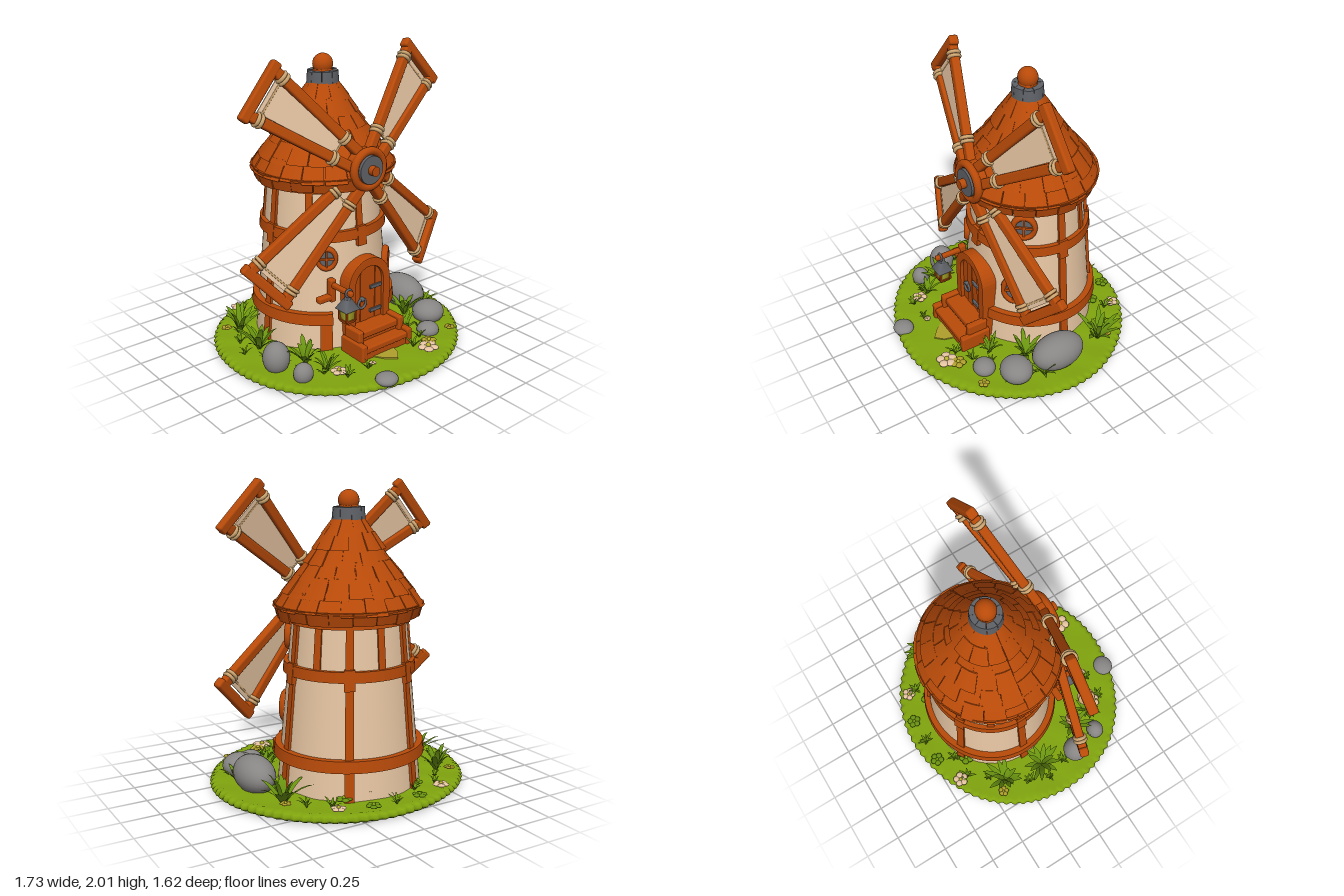
import * as THREE from 'three';
import { mergeGeometries } from 'three/addons/utils/BufferGeometryUtils.js';
import { RoundedBoxGeometry } from 'three/addons/geometries/RoundedBoxGeometry.js';

const mat = (name, color, side = THREE.FrontSide) => new THREE.MeshStandardMaterial({ name, color, side });
const wood = mat('wood', 0xb84a09), plaster = mat('plaster', 0xeccaa6, THREE.DoubleSide);
const rope = mat('rope', 0xd0a873), stone = mat('stone', 0x888684), metal = mat('metal', 0x5f6267);
const grass = mat('grass', 0x80a40e), leaf = mat('leaf', 0x6a9410, THREE.DoubleSide);
const soil = mat('soil', 0xcdb29c), path = mat('path', 0xb0a02c), glow = mat('glow', 0xb9b42c);

let seed = 7;
const rnd = () => (seed = (seed * 16807) % 2147483647) / 2147483647;
const spread = (s) => (rnd() - 0.5) * 2 * s;
const PI = Math.PI;

function add(parent, name, geo, material, x = 0, y = 0, z = 0) {
  const m = new THREE.Mesh(geo, material);
  m.name = name;
  m.position.set(x, y, z);
  parent.add(m);
  return m;
}
function group(parent, name, x = 0, y = 0, z = 0) {
  const g = new THREE.Group();
  g.name = name;
  g.position.set(x, y, z);
  parent.add(g);
  return g;
}
const box = (w, h, d, r = 0.012) => new RoundedBoxGeometry(w, h, d, 2, r);

// Box bent around the y axis: angles a0..a1, outer radius r0 (bottom) to r1 (top), thickness t
function arcBlock(a0, a1, y0, y1, r0, r1, t) {
  const g = new THREE.BoxGeometry(1, 1, 1, Math.max(2, Math.ceil((a1 - a0) * 10)), 1, 1);
  const p = g.attributes.position;
  for (let i = 0; i < p.count; i++) {
    const a = a0 + (p.getX(i) + 0.5) * (a1 - a0), v = p.getY(i) + 0.5;
    const r = r0 + (r1 - r0) * v + (p.getZ(i) - 0.5) * t;
    p.setXYZ(i, Math.sin(a) * r, y0 + v * (y1 - y0), Math.cos(a) * r);
  }
  g.computeVertexNormals();
  return g;
}
const wallR = (y) => 0.475 - 0.0946 * (y - 0.06);

// Beam between two points in the local xy plane
function beam(parent, name, material, x0, y0, x1, y1, w, d) {
  const m = add(parent, name, box(Math.hypot(x1 - x0, y1 - y0), w, d, Math.min(w, d) * 0.25), material, (x0 + x1) / 2, (y0 + y1) / 2);
  m.rotation.z = Math.atan2(y1 - y0, x1 - x0);
  return m;
}

function buildGround(root) {
  const pts = [[0, 0.006], [0.5, 0.006], [0.96, 0.006], [0.985, 0.018], [0.995, 0.034], [0.98, 0.054], [0.95, 0.062],
    [0.91, 0.056], [0.8, 0.06], [0.65, 0.064], [0.5, 0.066], [0.25, 0.066], [0, 0.066]].map((p) => new THREE.Vector2(...p));
  const g = new THREE.LatheGeometry(pts, 504);
  const p = g.attributes.position;
  for (let i = 0; i < p.count; i++) {
    const x = p.getX(i), y = p.getY(i), z = p.getZ(i), r = Math.hypot(x, z), a = Math.atan2(x, z);
    const k = r > 0.94 ? 1 + 0.008 * Math.cos(84 * a) + 0.006 * Math.sin(5 * a) : 1;
    const bump = y > 0.05 ? 0.005 * Math.sin(15 * x) * Math.cos(17 * z) : 0;
    p.setXYZ(i, x * k * 0.86, y + bump, z * k * 0.81);
  }
  g.computeVertexNormals();
  add(root, 'grassGround', g, grass);
  // soil patch under the ground
  const pts2 = [];
  for (let i = 0; i < 40; i++) {
    const a = i / 40 * PI * 2, r = 0.48 + 0.03 * Math.sin(3 * a) + 0.025 * Math.sin(7 * a + 1);
    pts2.push(new THREE.Vector2(Math.cos(a) * r, Math.sin(a) * r));
  }
  add(root, 'soilUnderside', new THREE.ShapeGeometry(new THREE.Shape(pts2)).rotateX(PI / 2), soil, 0, 0.001, 0);
  // worn wedge of path in front of the steps
  const wedge = new THREE.Shape([[-0.1, -0.48], [0.08, -0.48], [0.06, -0.55], [0.01, -0.6], [-0.06, -0.54]].map((q) => new THREE.Vector2(...q)));
  add(root, 'pathPatch', new THREE.ExtrudeGeometry(wedge, { depth: 0.009, bevelEnabled: false }).rotateX(-PI / 2), path, 0, 0.063, 0);
}

function addWindow(tower, a, y, rx, ry) {
  const r = wallR(y) + 0.006, w = group(tower, 'roundWindow', Math.sin(a) * r, y, Math.cos(a) * r);
  w.rotation.y = a;
  w.scale.set(rx, ry, 1);
  add(w, 'windowFrame', new THREE.TorusGeometry(0.79, 0.21, 10, 32).scale(1, 1, 0.13), wood);
  add(w, 'windowPane', new THREE.CylinderGeometry(0.7, 0.7, 0.01, 28).rotateX(PI / 2), metal, 0, 0, 0.003);
  add(w, 'windowBarUpright', new THREE.BoxGeometry(0.16, 1.4, 0.02), wood, 0, 0, 0.01);
  add(w, 'windowBarCross', new THREE.BoxGeometry(1.4, 0.16, 0.02), wood, 0, 0, 0.01);
}

function buildTower(root) {
  const t = group(root, 'tower', 0, 0, -0.16);
  t.scale.z = 0.95;
  add(t, 'wall', new THREE.CylinderGeometry(wallR(1.2), wallR(0.05), 1.15, 64), plaster, 0, 0.625, 0);
  // bands, the lower one open at the door
  add(t, 'lowerBand', arcBlock(0.38, 2 * PI - 0.51, 0.25, 0.325, 0.5, 0.492, 0.07), wood);
  add(t, 'middleBand', arcBlock(-PI, PI, 0.8, 0.868, 0.434, 0.428, 0.06), wood);
  add(t, 'topBand', arcBlock(-PI, PI, 1.12, 1.17, 0.4, 0.396, 0.05), wood);
  const post = (a, y0, y1, w, out) => add(t, 'wallPost', arcBlock(a - w, a + w, y0, y1, wallR(y0) + out, wallR(y1) + out, 0.06), wood);
  for (const deg of [90, 150, 210, 270]) post(deg * PI / 180, 0.06, 1.16, 0.062, 0.018);
  for (const deg of [0, 120, 180, 240, 310]) post(deg * PI / 180, 0.83, 1.16, 0.06, 0.012);
  for (const deg of [0, 90, 150, 210, 270]) post(deg * PI / 180, 0.75, 0.88, 0.08, 0.032);
  post(-0.6, 0.06, 0.27, 0.085, 0.025);
  addWindow(t, 0.77, 0.515, 0.092, 0.115);
  addWindow(t, -0.587, 0.69, 0.076, 0.085);
  addWindow(t, 0.91, 1.01, 0.09, 0.098);

  // roof: core plus rows of overlapping shingles over a backing ring
  const roof = group(t, 'roof', 0, 0, 0.012);
  add(roof, 'roofCore', new THREE.CylinderGeometry(0.09, 0.44, 0.59, 40), wood, 0, 1.465, 0);
  const rows = [[1.145, 1.235, 0.462, 0.486, 20], [1.215, 1.33, 0.49, 0.41, 20], [1.305, 1.42, 0.435, 0.34, 18],
    [1.395, 1.51, 0.363, 0.268, 16], [1.485, 1.595, 0.292, 0.21, 14], [1.57, 1.68, 0.236, 0.16, 12], [1.66, 1.77, 0.18, 0.1, 10]];
  rows.forEach(([y0, y1, r0, r1, n], row) => {
    const tiles = [arcBlock(-PI, PI, y0 + 0.012, y1, r0 - 0.016, r1 - 0.012, 0.04)];
    for (let i = 0; i < n; i++) {
      const a = (i + (row % 2) * 0.5) / n * 2 * PI, h = PI / n - 0.006 + spread(0.003), d = spread(0.006);
      tiles.push(arcBlock(a - h, a + h, y0 + spread(0.008), y1, r0 + d, r1 + d, row ? 0.04 : 0.06));
    }
    add(roof, 'shingleRow', mergeGeometries(tiles), wood);
  });
  const collar = [];
  for (let i = 0; i < 9; i++) collar.push(arcBlock(i * PI / 4.5, (i + 0.97) * PI / 4.5, 1.755 + spread(0.004), 1.832 + spread(0.004), 0.108, 0.102, 0.06));
  add(roof, 'finialCollar', mergeGeometries(collar), metal);
  add(roof, 'finialNeck', new THREE.CylinderGeometry(0.06, 0.08, 0.1, 20), wood, 0, 1.8, 0);
  add(roof, 'finialBall', new THREE.SphereGeometry(0.068, 24, 16), wood, 0, 1.872, 0);
}

function archPoints(w, y0, spring) {
  const pts = [[w, y0]];
  for (let i = 0; i <= 20; i++) pts.push([w * Math.cos(i / 20 * PI), spring + w * Math.sin(i / 20 * PI)]);
  pts.push([-w, y0]);
  return pts.map((p) => new THREE.Vector2(...p));
}

function buildDoor(root) {
  const d = group(root, 'door', 0.015, 0, 0);
  const frame = new THREE.Shape(archPoints(0.172, 0.08, 0.495));
  frame.holes.push(new THREE.Path(archPoints(0.125, 0.085, 0.495)));
  const bevel = { bevelThickness: 0.008, bevelSize: 0.006, bevelSegments: 2, curveSegments: 8 };
  add(d, 'doorFrame', new THREE.ExtrudeGeometry(frame, { depth: 0.18, ...bevel }), wood, 0, 0, 0.128);
  // arched planks
  for (let i = 0; i < 4; i++) {
    const x0 = -0.126 + i * 0.063, pts = [new THREE.Vector2(x0 + 0.001, 0.09), new THREE.Vector2(x0 + 0.062, 0.09)];
    for (let k = 4; k >= 0; k--) {
      const x = x0 + 0.001 + 0.061 * k / 4;
      pts.push(new THREE.Vector2(x, 0.495 + Math.sqrt(Math.max(0, 0.0159 - x * x))));
    }
    add(d, 'doorPlank', new THREE.ExtrudeGeometry(new THREE.Shape(pts), { depth: 0.09, bevelEnabled: false }), wood, 0, 0, 0.2 + (i % 2) * 0.004);
  }
  add(d, 'doorKnocker', new THREE.TorusGeometry(0.032, 0.009, 8, 24), metal, -0.055, 0.36, 0.302);
  add(d, 'knockerPlate', new THREE.SphereGeometry(0.017, 12, 8), metal, -0.055, 0.39, 0.3);
  for (const y of [0.285, 0.455]) add(d, 'hinge', box(0.1, 0.026, 0.016, 0.005), metal, 0.065, y, 0.298);
  // steps with side cheeks
  add(d, 'upperStep', box(0.35, 0.05, 0.19), wood, 0, 0.2, 0.325);
  add(d, 'upperRiser', box(0.33, 0.13, 0.17), wood, 0, 0.12, 0.32);
  add(d, 'lowerStep', box(0.41, 0.045, 0.22), wood, 0, 0.13, 0.385);
  add(d, 'lowerRiser', box(0.39, 0.07, 0.2), wood, 0, 0.088, 0.385);
  for (const s of [-1, 1]) {
    add(d, 'stepCheek', box(0.045, 0.13, 0.22), wood, s * 0.195, 0.11, 0.39);
    add(d, 'stepPost', box(0.045, 0.19, 0.15), wood, s * 0.175, 0.15, 0.365);
  }
}

function buildLantern(root) {
  const l = group(root, 'lantern', -0.235, 0, 0.385);
  add(l, 'bracketArm', box(0.035, 0.035, 0.22), wood, 0, 0.53, -0.06);
  add(l, 'bracketRail', box(0.13, 0.04, 0.05), wood, -0.05, 0.445, -0.16);
  add(l, 'bracketPost', box(0.045, 0.16, 0.05), wood, 0, 0.49, -0.16);
  add(l, 'hangingRing', new THREE.TorusGeometry(0.024, 0.008, 8, 20), metal, 0, 0.53, 0.012);
  add(l, 'lanternNeck', new THREE.CylinderGeometry(0.016, 0.024, 0.04, 10), metal, 0, 0.5, 0);
  add(l, 'lanternCap', new THREE.CylinderGeometry(0.028, 0.08, 0.07, 4).rotateY(PI / 4), metal, 0, 0.453, 0);
  add(l, 'lanternGlass', new THREE.CylinderGeometry(0.056, 0.044, 0.075, 4).rotateY(PI / 4), glow, 0, 0.384, 0);
  add(l, 'lanternFoot', new THREE.CylinderGeometry(0.056, 0.05, 0.02, 4).rotateY(PI / 4), wood, 0, 0.338, 0);
  for (const x of [-1, 1]) for (const z of [-1, 1]) add(l, 'lanternCorner', box(0.014, 0.085, 0.014, 0.003), wood, x * 0.037, 0.384, z * 0.037);
}

// Sail arm lying along local x; a, b are the slopes of its plane in x and y
function buildSail(hub, angle, L, a, b) {
  const s = group(hub, 'sail');
  s.quaternion.setFromUnitVectors(new THREE.Vector3(0, 0, 1), new THREE.Vector3(-a, -b, 1).normalize())
    .multiply(new THREE.Quaternion().setFromAxisAngle(new THREE.Vector3(0, 0, 1), angle));
  const half = (x) => 0.052 + (x - 0.1) / (L - 0.13) * 0.103;
  const x0 = 0.25, x1 = L - 0.08;
  for (const k of [-1, 1]) {
    beam(s, 'sailRail', wood, 0.09, k * half(0.09), L - 0.02, k * half(L - 0.02), 0.066, 0.058);
    for (const x of [0.235, 0.26, L - 0.125, L - 0.1]) {
      const w = add(s, 'ropeWrap', new THREE.TorusGeometry(0.037, 0.0125, 6, 14).rotateY(PI / 2), rope, x, k * half(x), 0);
      w.rotation.z = k * 0.14;
    }
  }
  beam(s, 'sailTipBoard', wood, L - 0.03, -0.205, L - 0.03, 0.205, 0.066, 0.062);
  for (const x of [0.25, L - 0.112]) beam(s, 'ropeStrand', rope, x, -half(x), x, half(x), 0.014, 0.014);
  const h0 = half(x0) - 0.03, h1 = half(x1) - 0.038;
  const cloth = new THREE.Shape([[x0, -h0], [x1, -h1], [x1, h1], [x0, h0]].map((p) => new THREE.Vector2(...p)));
  add(s, 'sailCloth', new THREE.ExtrudeGeometry(cloth, { depth: 0.01, bevelEnabled: false }), plaster, 0, 0, -0.005);
}

function buildSails(root) {
  const hub = group(root, 'sailHub', 0.013, 1.27, 0.275);
  const disc = (name, m, r, len, z) => add(hub, name, new THREE.CylinderGeometry(r, r, len, 36).rotateX(PI / 2), m, 0, 0, z);
  disc('axle', wood, 0.085, 0.32, -0.17);
  disc('hubDisc', wood, 0.135, 0.07, -0.015);
  add(hub, 'hubRim', new THREE.TorusGeometry(0.118, 0.027, 10, 40), wood, 0, 0, 0.016);
  disc('hubPlate', metal, 0.092, 0.045, 0.026);
  disc('hubPin', wood, 0.032, 0.06, 0.058);
  const rad = PI / 180;
  buildSail(hub, 42.6 * rad, 0.9, -0.16, -0.17);
  buildSail(hub, 140 * rad, 0.91, 0.16, -0.17);
  buildSail(hub, -44 * rad, 0.97, -0.3, -0.12);
  buildSail(hub, 222.3 * rad, 0.995, 0.3, -0.12);
}

// Tuft of arching pointed leaves
function addTuft(root, x, z, len, n) {
  const leaves = [];
  for (let i = 0; i < n; i++) {
    const l = len * (0.75 + rnd() * 0.4), out = 0.35 + rnd() * 0.55, g = new THREE.PlaneGeometry(1, 1, 2, 5);
    const p = g.attributes.position;
    for (let j = 0; j < p.count; j++) {
      const t = p.getY(j) + 0.5, w = p.getX(j);
      p.setXYZ(j, -w * len * 0.22 * (0.6 + t) * (1 - t * t), l * (1.6 * t - 0.7 * t * t) * (1.2 - out * 0.6) + Math.abs(w) * 0.012 * (1 - t), l * out * t);
    }
    g.computeVertexNormals();
    leaves.push(g.rotateY((i + rnd() * 0.6) / n * 2 * PI));
  }
  add(root, 'grassTuft', mergeGeometries(leaves), leaf, x, 0.055, z);
}

function addFlower(root, x, z, r, petals, centre) {
  const f = group(root, 'flower', x, 0.085, z);
  for (let i = 0; i < 5; i++) {
    const a = i / 5 * 2 * PI + x * 9;
    add(f, 'petal', new THREE.SphereGeometry(r * 0.5, 10, 6).scale(1, 0.4, 1), petals, Math.cos(a) * r * 0.6, 0, Math.sin(a) * r * 0.6);
  }
  add(f, 'flowerCentre', new THREE.SphereGeometry(r * 0.26, 8, 6), centre, 0, r * 0.15, 0);
}

function buildGarden(root) {
  // x, z, radius x, radius z, top height
  for (const [x, z, rx, rz, top] of [[0.62, -0.01, 0.125, 0.19, 0.265], [0.585, 0.295, 0.115, 0.11, 0.185], [0.43, 0.45, 0.078, 0.075, 0.13],
    [-0.205, 0.73, 0.075, 0.07, 0.1], [-0.595, 0.39, 0.066, 0.06, 0.16], [-0.65, 0.18, 0.088, 0.09, 0.235]]) {
    const h = (top - 0.02) / 2;
    add(root, 'rock', new THREE.SphereGeometry(1, 24, 16), stone, x, top - h, z).scale.set(rx, h, rz);
  }
  for (const [x, z, len, n] of [[0.6, -0.36, 0.2, 14], [-0.56, -0.37, 0.2, 14], [-0.6, -0.08, 0.2, 14], [0.48, 0.16, 0.18, 12], [-0.48, 0.26, 0.19, 12],
    [-0.43, 0.42, 0.13, 10], [0.32, 0.34, 0.14, 10], [0.68, 0.14, 0.14, 9], [0, -0.72, 0.08, 8]]) addTuft(root, x, z, len, n);
  // small tufts scattered around, leaving the front of the steps clear
  for (let i = 0; i < 26; i++) {
    const a = 0.35 + i / 25 * (2 * PI - 0.7), r = 0.66 + spread(0.09);
    addTuft(root, Math.sin(a) * r, Math.cos(a) * r * 0.96, 0.075 + spread(0.02), 7);
  }
  for (const [x, z, r] of [[-0.39, -0.65, 0.05], [0.375, -0.65, 0.045], [-0.4, 0.5, 0.05], [0.25, 0.635, 0.065], [-0.17, 0.56, 0.022]]) addFlower(root, x, z, r, plaster, glow);
  for (const [x, z, r] of [[-0.63, -0.43, 0.035], [0.61, -0.42, 0.035], [0.31, 0.58, 0.05], [0.56, 0.53, 0.035]]) addFlower(root, x, z, r, path, glow);
  for (const [x, z, r] of [[-0.27, -0.53, 0.05], [0.27, -0.54, 0.05], [-0.17, -0.72, 0.045], [0.17, -0.72, 0.045]]) addFlower(root, x, z, r, leaf, grass);
}

export function createModel() {
  const root = new THREE.Group();
  root.name = 'windmill';
  buildGround(root);
  buildTower(root);
  buildDoor(root);
  buildLantern(root);
  buildSails(root);
  buildGarden(root);
  return root;
}
